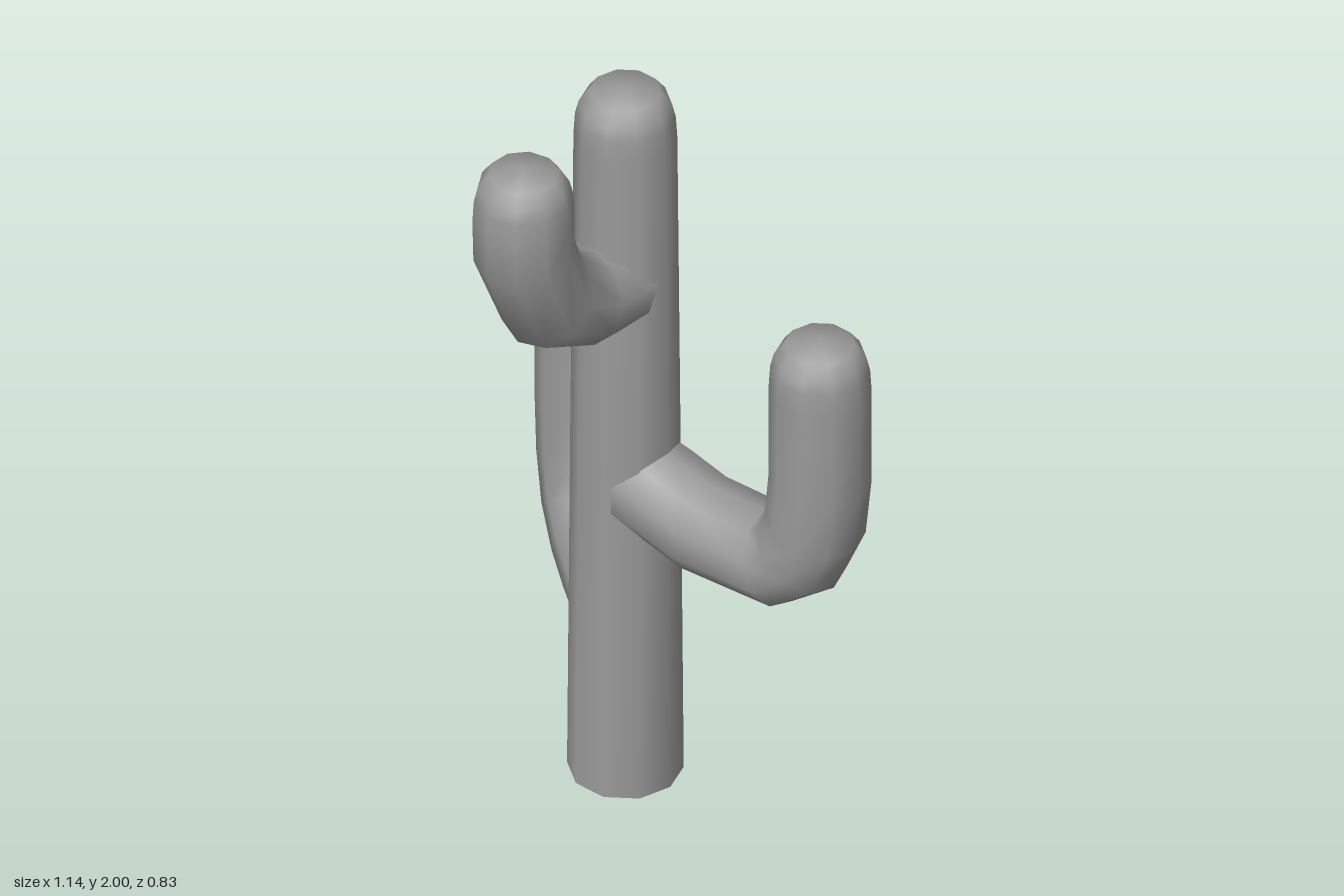
import * as THREE from 'three';

const SIDES = 10;
// Rounded tip: [radius factor, height above the last path point]
const TIP = [[0.97, 0.06], [0.9, 0.095], [0.69, 0.13]];
const TIP_HEIGHT = 0.145;
const TRUNK = { x: -0.146, z: -0.077 };

// Double sided, as the trunk is hollow and open underneath
const material = new THREE.MeshStandardMaterial({ color: 0x9a9a9a, side: THREE.DoubleSide });

// Sweeps a ten-sided ring along [x, y, radius] points and closes it with a rounded tip.
function stemGeometry(path, twist) {
  const positions = [], index = [];
  const rings = path.map(([x, y, r], i) => {
    const dir = (a, b) => new THREE.Vector2(b[0] - a[0], b[1] - a[1]).normalize();
    const t = new THREE.Vector2();
    if (i > 0) t.add(dir(path[i - 1], path[i]));
    if (i < path.length - 1) t.add(dir(path[i], path[i + 1]));
    return { x, y, r, t: t.normalize() };
  });
  const [endX, endY, endR] = path[path.length - 1];
  const up = new THREE.Vector2(0, 1);
  rings[rings.length - 1].t = up;
  for (const [f, h] of TIP) rings.push({ x: endX, y: endY + h, r: endR * f, t: up });

  for (const { x, y, r, t } of rings) {
    for (let s = 0; s < SIDES; s++) {
      const a = (s / SIDES) * Math.PI * 2 + twist;
      const c = Math.cos(a) * r;
      positions.push(x + c * t.y, y - c * t.x, Math.sin(a) * r);
    }
  }
  const apex = rings.length * SIDES;
  positions.push(endX, endY + TIP_HEIGHT, 0);

  for (let k = 0; k < rings.length; k++) {
    for (let s = 0; s < SIDES; s++) {
      const p = k * SIDES + s, n = k * SIDES + (s + 1) % SIDES;
      if (k === rings.length - 1) index.push(p, apex, n);
      else index.push(p, p + SIDES, n, n, p + SIDES, n + SIDES);
    }
  }
  const geometry = new THREE.BufferGeometry();
  geometry.setAttribute('position', new THREE.Float32BufferAttribute(positions, 3));
  geometry.setIndex(index);
  geometry.computeVertexNormals();
  return geometry;
}

// Stems: distance from the trunk axis, height and radius, bent in the plane given by angle
const R = 0.121;
const STEMS = [
  { name: 'trunk', angle: 0, twist: 0,
    path: [[0, 0, 0.137], [0, 0.93, 0.13], [0, 1.855, 0.122]] },
  { name: 'leftArm', angle: 0, twist: 0,
    path: [[0.03, 0.872, R], [0.125, 0.857, R], [0.24, 0.83, R], [0.465, 0.843, R],
      [0.54, 0.905, R], [0.58, 0.998, R], [0.595, 1.14, R], [0.595, 1.4, R]] },
  { name: 'backArm', angle: Math.atan2(0.585, -0.81), twist: 0,
    path: [[0.03, 0.468, R], [0.13, 0.478, R], [0.235, 0.502, R], [0.318, 0.56, R],
      [0.36, 0.665, R], [0.377, 0.83, R], [0.377, 1.222, R]] },
  { name: 'frontArm', angle: -Math.PI / 2, twist: 0.1,
    path: [[0.02, 1.457, R], [0.155, 1.474, R], [0.29, 1.542, R], [0.37, 1.732, R], [0.372, 1.83, R]] },
];

export function createModel() {
  const cactus = new THREE.Group();
  cactus.name = 'cactus';

  // Tapered trunk and three bent arms
  for (const { name, angle, twist, path } of STEMS) {
    const stem = new THREE.Mesh(stemGeometry(path, twist), material);
    stem.name = name;
    stem.position.set(TRUNK.x, 0, TRUNK.z);
    stem.rotation.y = angle;
    cactus.add(stem);
  }
  return cactus;
}
